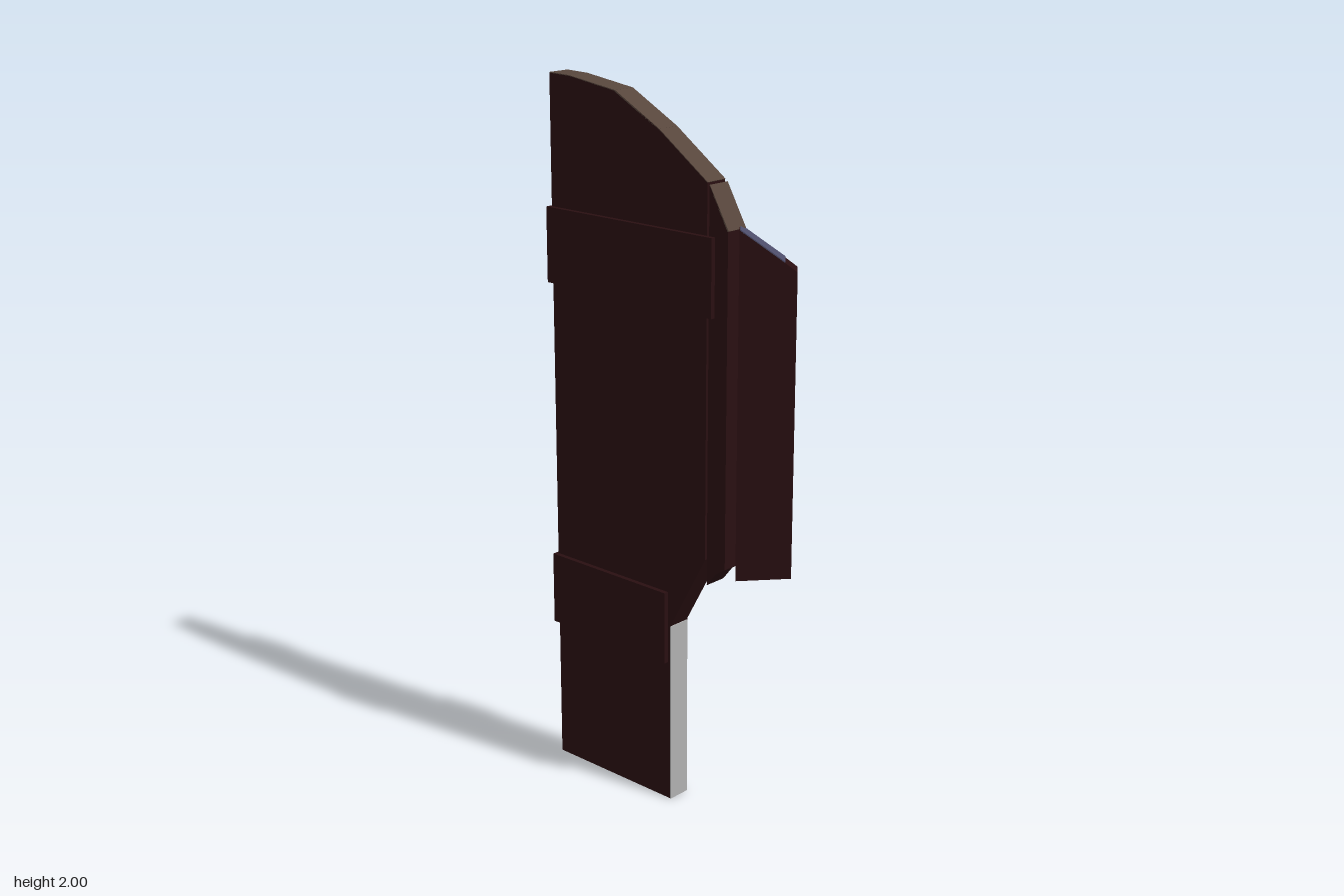
import * as THREE from 'three';

const material = (name, color) => {
  const m = new THREE.MeshStandardMaterial({ color });
  m.name = name;
  return m;
};

export function createModel() {
  const darkWood = material('dark red wood', 0x290f11);
  const tanWood = material('bare tan wood', 0x57463c);
  const slate = material('slate blue', 0x4c4c69);
  const grey = material('pale grey', 0xb0b0b0);

  const model = new THREE.Group();
  model.name = 'brokenDoor';

  // Flat slab from an outline, centred on z = 0
  const slab = (parent, name, points, depth, mat, z = 0) => {
    const shape = new THREE.Shape(points.map(([x, y]) => new THREE.Vector2(x, y)));
    const geo = new THREE.ExtrudeGeometry(shape, { depth, bevelEnabled: false });
    geo.translate(0, 0, z - depth / 2);
    const mesh = new THREE.Mesh(geo, mat);
    mesh.name = name;
    parent.add(mesh);
    return mesh;
  };

  // Thin plate lying on the edge that runs from p to q
  const edgePlate = (parent, name, p, q, depth, mat, z = 0) => {
    const dx = q[0] - p[0], dy = q[1] - p[1];
    const mesh = new THREE.Mesh(new THREE.BoxGeometry(Math.hypot(dx, dy), 0.004, depth), mat);
    mesh.position.set((p[0] + q[0]) / 2, (p[1] + q[1]) / 2, z);
    mesh.rotation.z = Math.atan2(dy, dx);
    mesh.name = name;
    parent.add(mesh);
  };

  // Swung-open leaf: local x runs from the hinge side outwards
  const leaf = new THREE.Group();
  leaf.name = 'doorLeaf';
  leaf.position.set(-0.308, 0, -0.204);
  leaf.rotation.y = THREE.MathUtils.degToRad(-40);
  model.add(leaf);

  const thick = 0.067;
  const arch = [[0.008, 1.998], [0.083, 1.996], [0.25, 1.973], [0.406, 1.89], [0.571, 1.775]];
  slab(leaf, 'mainPanel', [
    [0.008, 0], [0.445, 0], [0.445, 0.53], [0.571, 0.76], ...[...arch].reverse(),
  ], thick, darkWood);
  for (let i = 0; i < arch.length - 1; i++) {
    edgePlate(leaf, 'archEdge', arch[i], arch[i + 1], thick, tanWood);
  }

  // Splintered outer plank, separated by a narrow gap
  slab(leaf, 'outerPlank', [
    [0.578, 0.69], [0.61, 0.73], [0.641, 0.75], [0.641, 1.66], [0.578, 1.77],
  ], thick, darkWood);
  edgePlate(leaf, 'plankTopEdge', [0.578, 1.77], [0.641, 1.66], thick, tanWood);

  // Pale cut edge at the foot
  edgePlate(leaf, 'footEdge', [0.446, 0], [0.446, 0.53], thick, grey);

  // Worn bare patch on the back of the arch
  slab(leaf, 'wornPatch', [
    [0.085, 1.93], [0.25, 1.85], [0.25, 1.66], [0.34, 1.65],
    [0.36, 1.83], [0.4, 1.885], [0.25, 1.965], [0.085, 1.985],
  ], 0.002, tanWood, -thick / 2 - 0.001);

  // Cross bands wrapped round the leaf
  for (const [name, width, bottom, top] of [
    ['upperBand', 0.598, 1.43, 1.64],
    ['lowerBand', 0.436, 0.42, 0.63],
  ]) {
    const band = new THREE.Mesh(new THREE.BoxGeometry(width, top - bottom, 0.094), darkWood);
    band.position.set(width / 2, (top + bottom) / 2, 0);
    band.name = name;
    leaf.add(band);
  }

  // Fixed fragment beside the leaf, with a slanted top
  slab(model, 'fixedFragment', [
    [0.19, 0.722], [0.337, 0.732], [0.337, 1.56], [0.305, 1.584], [0.19, 1.666],
  ], 0.067, darkWood, 0.206);
  edgePlate(model, 'fragmentTop', [0.191, 1.666], [0.305, 1.585], 0.067, slate, 0.206);

  return model;
}
